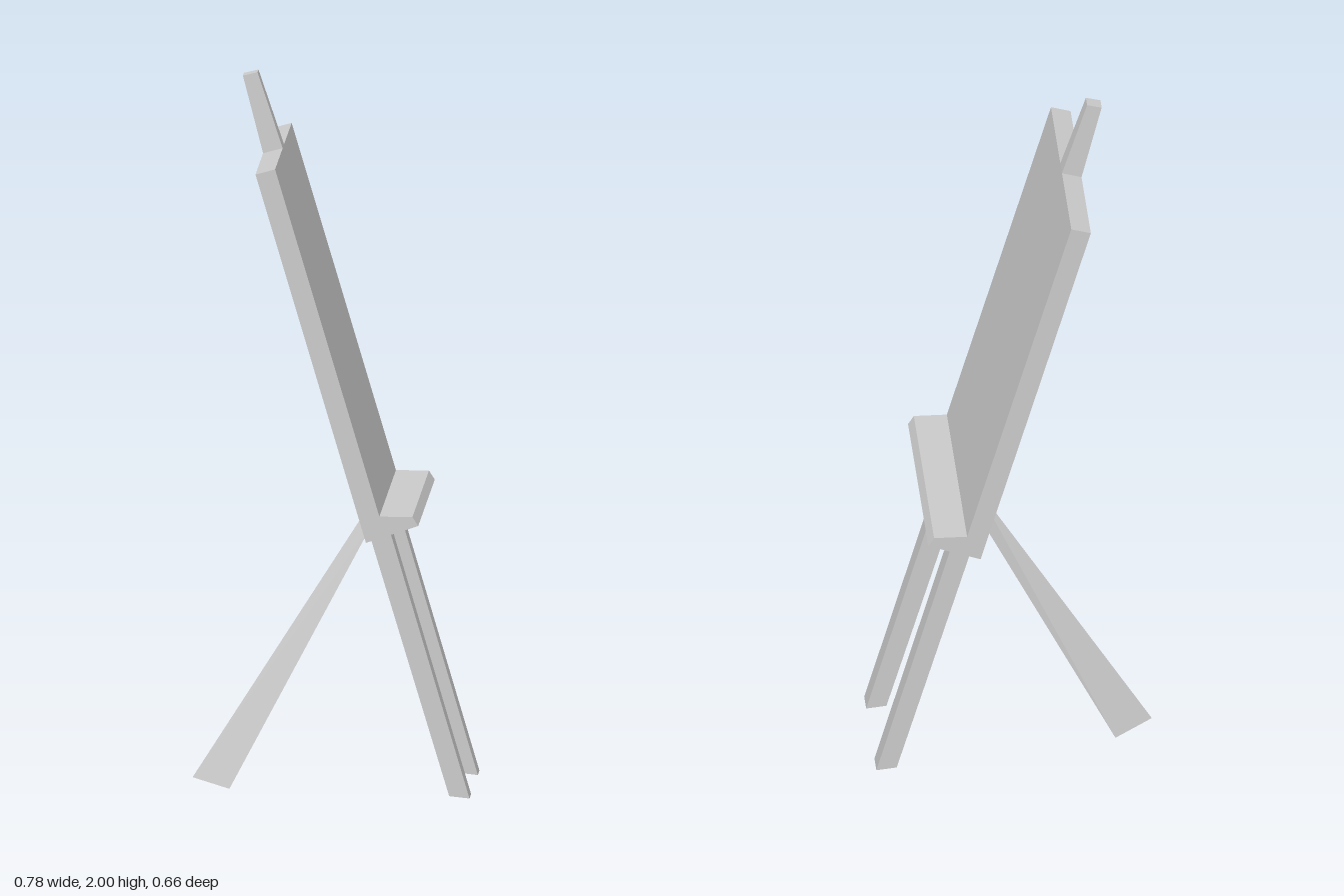
import * as THREE from 'three';

const wood = new THREE.MeshStandardMaterial({ color: 0xcccccc });
wood.name = 'plain grey';

// Side profile in x/y, extruded across z
function prism(profile, z0, z1) {
  const shape = new THREE.Shape(profile.map(([x, y]) => new THREE.Vector2(x, y)));
  return new THREE.ExtrudeGeometry(shape, { depth: z1 - z0, bevelEnabled: false }).translate(0, 0, z0);
}

// Closed solid between two matching cross-sections, flat shaded
function loft(a, b) {
  const n = a.length, out = [];
  for (let i = 0; i < n; i++) {
    const j = (i + 1) % n;
    out.push(a[i], a[j], b[j], a[i], b[j], b[i]);
  }
  for (let i = 1; i < n - 1; i++) out.push(a[0], a[i + 1], a[i], b[0], b[i], b[i + 1]);
  const g = new THREE.BufferGeometry();
  g.setAttribute('position', new THREE.Float32BufferAttribute(out.flat(), 3));
  g.computeVertexNormals();
  return g;
}

export function createModel() {
  const model = new THREE.Group();
  model.name = 'easel';
  const add = (name, geometry) => {
    const mesh = new THREE.Mesh(geometry, wood);
    mesh.name = name;
    model.add(mesh);
  };

  // Leaning board with the tray along its lower edge
  add('boardAndTray', prism([
    [0.112, 0.748], [0.256, 0.797], [0.24, 0.822], [0.149, 0.822],
    [-0.138, 1.79], [-0.192, 1.775],
  ], -0.329, 0.329));

  // Mast above the board, narrowing upward
  const quad = (x0, y0, x1, y1, h) => [[x0, y0, h], [x1, y1, h], [x1, y1, -h], [x0, y0, -h]];
  add('mast', loft(
    quad(-0.192, 1.775, -0.138, 1.79, 0.027),
    quad(-0.248, 1.99, -0.208, 2.0, 0.02),
  ));

  // Two front legs
  for (const [name, z] of [['leftFrontLeg', 0.166], ['rightFrontLeg', -0.166]]) {
    add(name, prism([
      [0.332, 0.016], [0.388, 0.01], [0.166, 0.766], [0.112, 0.748],
    ], z - 0.032, z + 0.032));
  }

  // Triangular rear leg, ridge to the back, widening to the foot
  add('rearLeg', loft(
    [[-0.388, 0.02, 0], [-0.282, 0.002, 0.067], [-0.282, 0.002, -0.067]],
    [[0.1, 0.79, 0], [0.113, 0.75, 0.034], [0.113, 0.75, -0.034]],
  ));

  return model;
}
